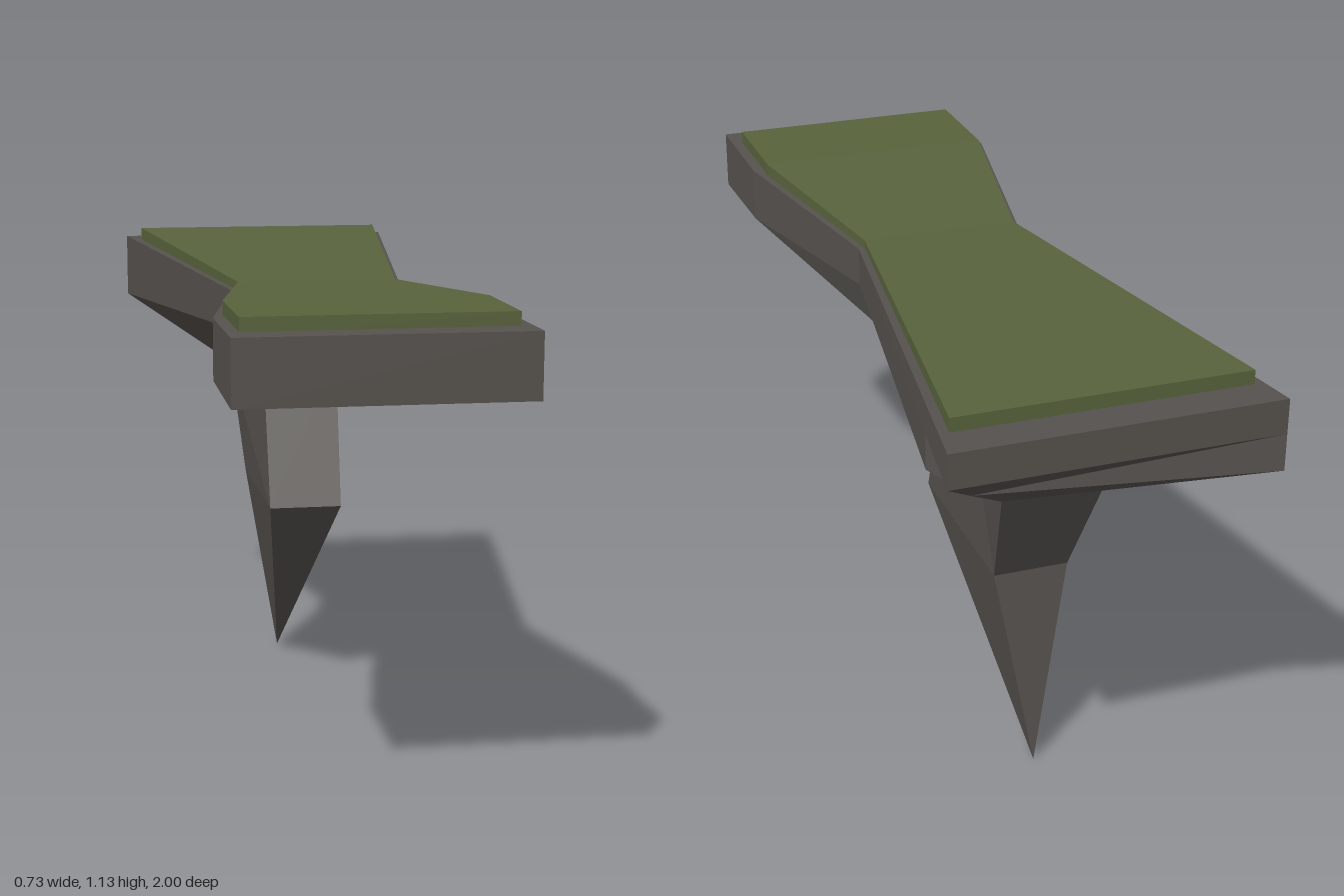
import * as THREE from 'three';

// Flat-shaded mesh from planar-ish polygons, each fanned from its first corner
function facetMesh(name, faces, color) {
  const pos = [];
  for (const f of faces)
    for (let i = 1; i < f.length - 1; i++) pos.push(...f[0], ...f[i], ...f[i + 1]);
  const geo = new THREE.BufferGeometry();
  geo.setAttribute('position', new THREE.Float32BufferAttribute(pos, 3));
  geo.computeVertexNormals();
  const mesh = new THREE.Mesh(geo, new THREE.MeshStandardMaterial({ color, flatShading: true }));
  mesh.name = name;
  return mesh;
}

const flip = ([x, y, z]) => [-x, y, z];
// Mirrors a set of faces to the -x side, keeping them facing outward
const mirrorFaces = (faces) => faces.map((f) => f.map(flip).reverse());

// Skin over the tops of a row of edge points and their mirror images
const topFaces = (edge) =>
  edge.slice(1).map((p, i) => [edge[i], flip(edge[i]), flip(p), p]);

// Named corners of one side; s = 1 for +x, s = -1 for -x
function corners(s) {
  const o = s > 0 ? 0 : 0.018; // the leg's top is slightly off centre
  const c = {
    rearTop: [0.367, 1.105, -1], rearMid: [0.367, 1.025, -1], rearLow: [0.367, 0.94, -1],
    waistTop: [0.205, 1.077, 0.12], waistLow: [0.205, 0.985, 0.12],
    bendTop: [0.317, 1.09, 0.7], bendLow: [0.317, 0.957, 0.7],
    frontTop: [0.317, 1.09, 1], frontLow: [0.317, 0.947, 1],
    legFront: [0.103 - o, 0.853, -0.2], legMid: [0.103 - o, 0.855, -0.4],
    legRear: [0.13 - o, 0.785, -0.67],
    kneeFront: [0.09, 0.505, -0.05], kneeRear: [0.09, 0.505, -0.52],
  };
  for (const k in c) c[k][0] *= s;
  return c;
}

export function createModel() {
  const group = new THREE.Group();
  const dark = 0x56524e, green = 0x58633c;
  const L = corners(1), R = corners(-1);
  const tip = [0, 0, -0.56];
  // Notch under the rear left corner
  const notchTop = [0.335, 1.03, -0.77], notchLow = [0.335, 0.95, -0.77], notchIn = [0.255, 0.9, -0.82];

  // Walls and underside shared by both sides, wound for +x
  const sideFaces = (c) => [
    [c.bendTop, c.frontTop, c.frontLow, c.bendLow],
    [c.waistTop, c.bendTop, c.bendLow, c.waistLow],
    [c.waistLow, c.bendLow, c.legFront],
    [c.frontLow, c.legFront, c.bendLow],
    [c.waistLow, c.legFront, c.legMid],
  ];
  const rev = (faces) => faces.map((f) => [...f].reverse());

  const body = [
    ...sideFaces(L),
    ...rev(sideFaces(R)),
    // Left rear wall and notch
    [notchTop, L.rearMid, L.rearTop, L.waistTop, L.waistLow, notchLow],
    [L.legMid, L.legRear, notchIn, notchLow, L.waistLow],
    [notchLow, notchIn, notchTop],
    [notchTop, notchIn, L.rearMid],
    // Right rear wall
    ...rev([
      [R.rearTop, R.waistTop, R.waistLow, R.rearLow],
      [R.legMid, R.legRear, R.rearLow, R.waistLow],
    ]),
    // Top, front, back and underside
    ...topFaces([L.rearTop, L.waistTop, L.bendTop, L.frontTop]),
    [L.frontTop, R.frontTop, R.frontLow, L.frontLow],
    [L.frontLow, R.frontLow, R.legFront, L.legFront],
    [R.rearTop, L.rearTop, L.rearMid, R.rearMid],
    [R.rearMid, L.rearMid, notchIn],
    [R.rearMid, notchIn, R.rearLow],
    [R.rearLow, notchIn, L.legRear, R.legRear],
  ];
  group.add(facetMesh('body', body, dark));

  // Leg tapering to a point
  const legSide = (c) => [
    [c.legMid, c.legFront, c.kneeFront, c.kneeRear, c.legRear],
    [c.kneeRear, c.kneeFront, tip],
  ];
  group.add(facetMesh('leg', [
    ...legSide(L),
    ...rev(legSide(R)),
    [L.legFront, R.legFront, R.kneeFront, L.kneeFront],
    [L.kneeFront, R.kneeFront, tip],
    [R.legRear, L.legRear, L.kneeRear, R.kneeRear],
    [R.kneeRear, L.kneeRear, tip],
  ], dark));

  // Raised pad following the outline of the body
  const top = [[0.332, 1.135, -0.91], [0.19, 1.097, 0.12], [0.29, 1.12, 0.65], [0.29, 1.12, 0.92]];
  const low = top.map(([x, y, z]) => [x, y - 0.04, z]);
  const padSide = top.slice(1).map((p, i) => [top[i], p, low[i + 1], low[i]]);
  group.add(facetMesh('pad', [
    ...topFaces(top),
    ...padSide,
    ...mirrorFaces(padSide),
    [top[3], flip(top[3]), flip(low[3]), low[3]],
    [flip(top[0]), top[0], low[0], flip(low[0])],
  ], green));

  return group;
}
